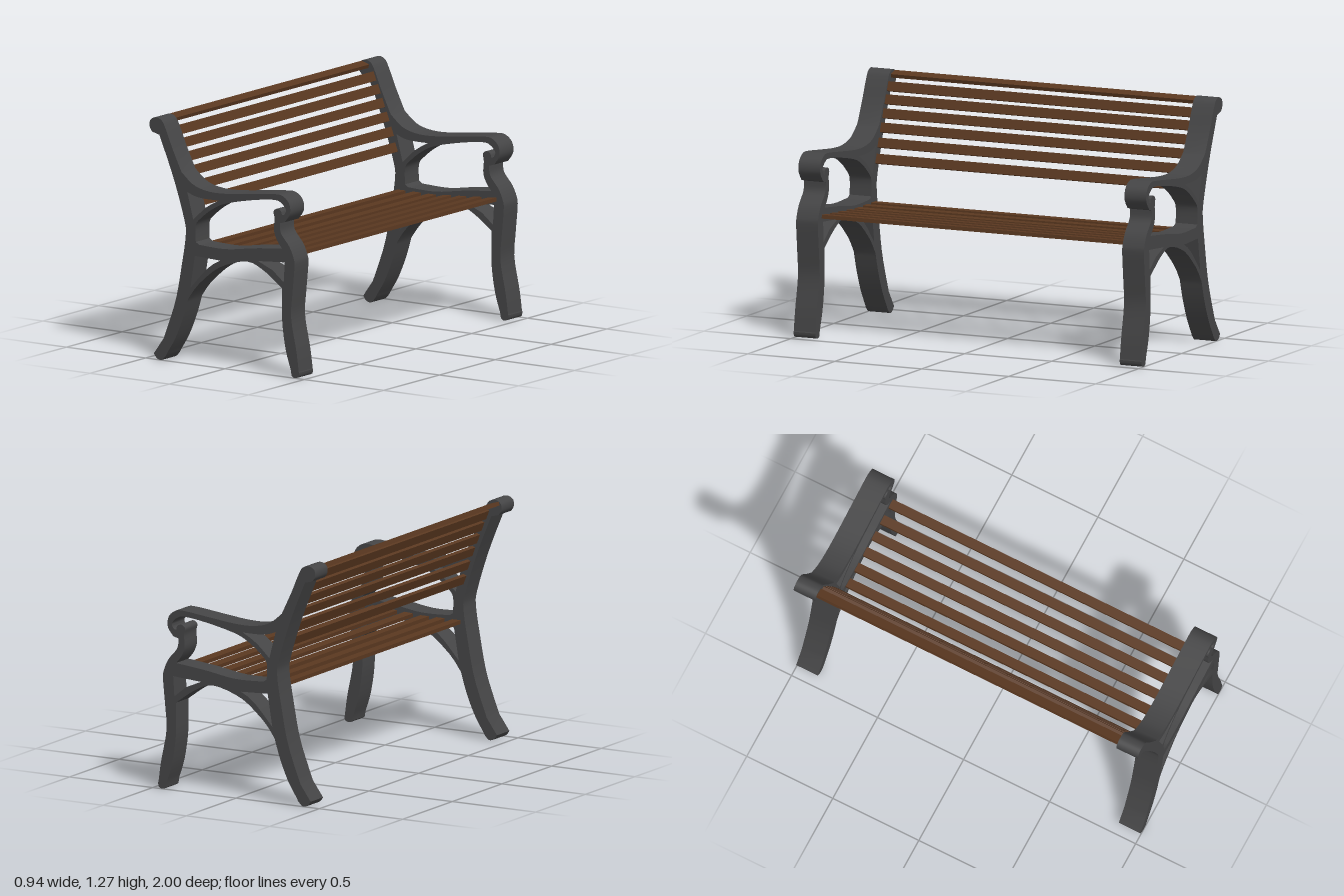
import * as THREE from 'three';
import { toCreasedNormals } from 'three/addons/utils/BufferGeometryUtils.js';

const HALF_LENGTH = 1;
const FRAME_WIDTH = 0.125;

// Traces a closed path from smooth runs; sharp corners fall between runs.
function tracePath(path, runs) {
  path.moveTo(...runs[0][0]);
  runs.forEach((run, i) => {
    const points = i === 0 ? run.slice(1) : run;
    if (i > 0) path.lineTo(...points[0]);
    const rest = i === 0 ? points : points.slice(1);
    if (rest.length === 1) path.lineTo(...rest[0]);
    else if (rest.length > 1) path.splineThru(rest.map(([x, y]) => new THREE.Vector2(x, y)));
  });
  path.closePath();
  return path;
}

function createFrameGeometry() {
  const shape = tracePath(new THREE.Shape(), [
    // back foot and inner edge of back leg
    [[-0.448, 0.035], [-0.43, 0.012], [-0.4, 0.005], [-0.373, 0.03]],
    [[-0.365, 0.045], [-0.3125, 0.13], [-0.265, 0.24], [-0.232, 0.345]],
    // arch under the seat
    [[-0.2, 0.39], [-0.147, 0.447], [-0.03, 0.535], [0.133, 0.583], [0.24, 0.55], [0.36, 0.468]],
    // inner edge of front leg and front foot
    [[0.36, 0.385], [0.362, 0.28], [0.383, 0.147], [0.415, 0.045]],
    [[0.42, 0.015], [0.437, 0.005], [0.462, 0.012], [0.468, 0.035]],
    // outer edge of front leg up to the arm post
    [[0.465, 0.04], [0.45, 0.147], [0.417, 0.316], [0.424, 0.434], [0.438, 0.586],
      [0.432, 0.635], [0.404, 0.694], [0.353, 0.755], [0.346, 0.808]],
    // armrest scroll and top edge
    [[0.377, 0.817], [0.41, 0.865], [0.404, 0.917], [0.365, 0.952], [0.309, 0.957],
      [0.14, 0.938], [0.005, 0.924], [-0.103, 0.924], [-0.198, 0.948], [-0.275, 1.008]],
    // back post and its rolled head
    [[-0.333, 1.127], [-0.38, 1.235], [-0.405, 1.268], [-0.44, 1.276], [-0.471, 1.258],
      [-0.474, 1.222], [-0.458, 1.198]],
    [[-0.414, 1.187], [-0.326, 0.975], [-0.255, 0.755], [-0.248, 0.67],
      [-0.272, 0.52], [-0.3125, 0.323], [-0.387, 0.12]],
  ]);

  const openings = [
    // large opening between armrest and seat rail
    [
      [[-0.184, 0.65], [-0.184, 0.738], [-0.147, 0.782], [-0.08, 0.833], [0.005, 0.873],
        [0.174, 0.91], [0.309, 0.927], [0.355, 0.915], [0.384, 0.885], [0.377, 0.86],
        [0.36, 0.853], [0.353, 0.873], [0.329, 0.883], [0.306, 0.866], [0.3125, 0.83],
        [0.309, 0.765], [0.329, 0.715], [0.36, 0.677]],
      [[0.29, 0.67], [0.174, 0.657], [0.005, 0.633], [-0.164, 0.637]],
    ],
    // opening above the arm brace
    [
      [[-0.238, 0.907], [-0.19, 0.89], [-0.13, 0.883], [-0.04, 0.883]],
      [[-0.08, 0.862], [-0.13, 0.829], [-0.2, 0.765]],
    ],
    // openings between seat rail and arch
    [
      [[-0.19, 0.576], [-0.03, 0.569]],
      [[-0.07, 0.548], [-0.13, 0.5], [-0.218, 0.404]],
    ],
    [
      [[0.208, 0.594], [0.377, 0.606]],
      [[0.37, 0.5], [0.3, 0.556]],
    ],
  ];
  openings.forEach((runs) => shape.holes.push(tracePath(new THREE.Path(), runs)));

  const geometry = new THREE.ExtrudeGeometry(shape, {
    depth: FRAME_WIDTH, bevelEnabled: false, curveSegments: 3,
  });
  geometry.translate(0, 0, -FRAME_WIDTH / 2);
  return toCreasedNormals(geometry, 0.6);
}

export function createModel() {
  const castIron = new THREE.MeshStandardMaterial({ color: 0x454546 });
  castIron.name = 'dark cast iron';
  const wood = new THREE.MeshStandardMaterial({ color: 0x5a3820 });
  wood.name = 'brown wood';

  const bench = new THREE.Group();
  bench.name = 'bench';

  // Two identical end frames
  const frameGeometry = createFrameGeometry();
  for (const side of [-1, 1]) {
    const frame = new THREE.Mesh(frameGeometry, castIron);
    frame.name = side > 0 ? 'frontEndFrame' : 'backEndFrame';
    frame.position.z = side * (HALF_LENGTH - FRAME_WIDTH / 2);
    bench.add(frame);
  }

  // Slats reach a little way into both frames
  const slatGeometry = new THREE.BoxGeometry(0.05, 0.02, 2 * (HALF_LENGTH - FRAME_WIDTH) + 0.04);
  function addSlat(group, name, x, y, angle) {
    const slat = new THREE.Mesh(slatGeometry, wood);
    slat.name = name;
    slat.position.set(x, y, 0);
    slat.rotation.z = angle;
    group.add(slat);
  }

  // Seat slats rise gently towards the front
  const seat = new THREE.Group();
  seat.name = 'seat';
  for (let i = 0; i < 7; i++) {
    const x = -0.205 + i * 0.0955;
    const rise = Math.max(0, x) * 0.07;
    addSlat(seat, 'seatSlat', x, 0.608 + rise, x > 0 ? 0.08 : 0);
  }
  bench.add(seat);

  // Backrest slats follow the leaning post, the top one rolls over its head
  const backrest = new THREE.Group();
  backrest.name = 'backrest';
  const backSlats = [
    [-0.247, 0.837], [-0.272, 0.917], [-0.3, 0.992],
    [-0.328, 1.062], [-0.355, 1.131], [-0.383, 1.195],
  ];
  backSlats.forEach(([x, y]) => addSlat(backrest, 'backSlat', x, y, Math.PI / 2 + 0.36));
  addSlat(backrest, 'topSlat', -0.437, 1.252, -0.3);
  bench.add(backrest);

  return bench;
}
